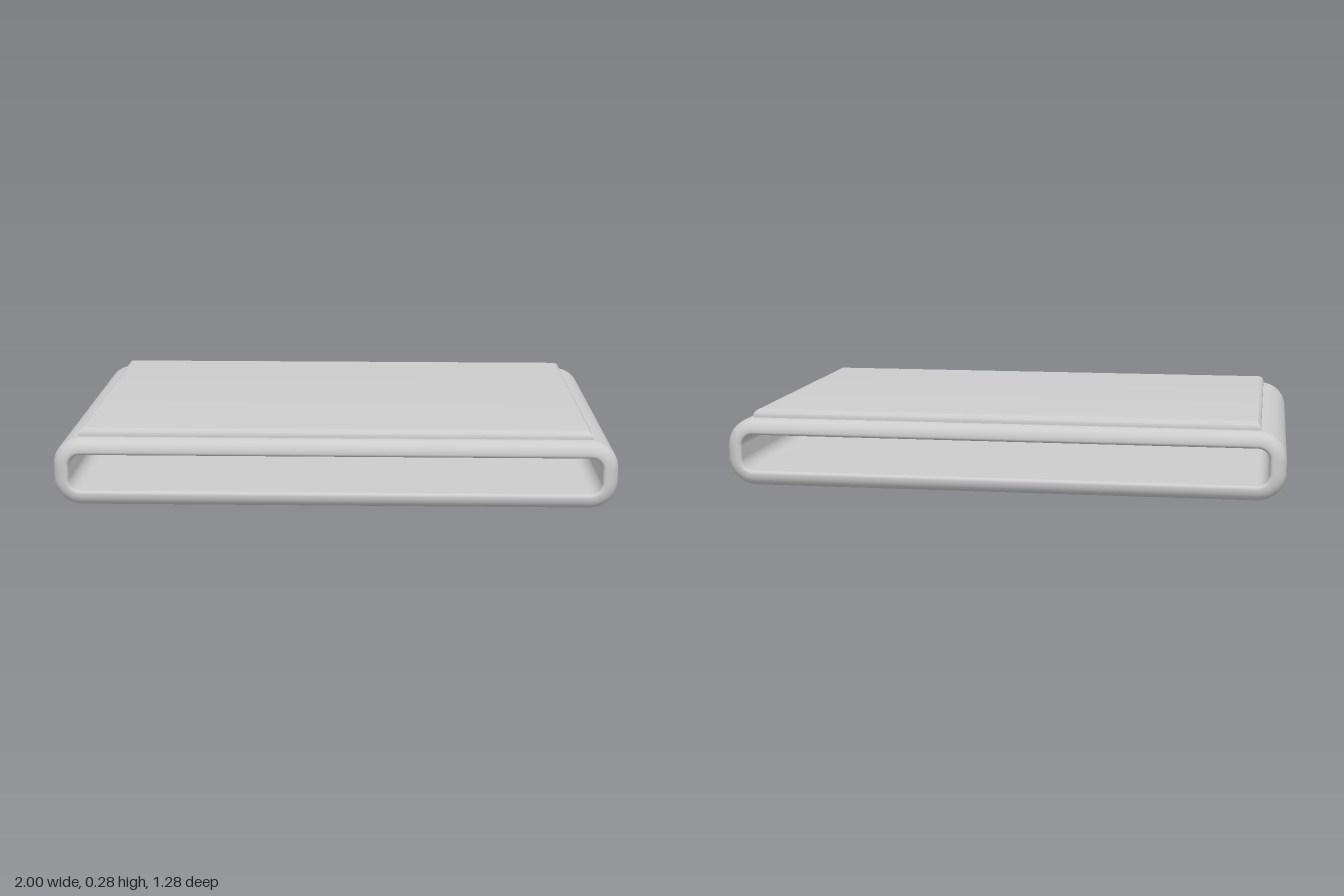
import * as THREE from 'three';
import { toCreasedNormals } from 'three/addons/utils/BufferGeometryUtils.js';

const W = 1, TOP = 0.245, D = 0.64; // half width, sleeve height, half depth
const CORNER = 0.1;                 // corner radius of the sleeve's outline
const OUT = 0.045, IN = 0.012;      // rounding of the rim, outside and inside

// Wall section: { inset, z, and the normal as outward / z components }
function wallSection() {
  const front = [], n = 10;
  for (let i = 0; i <= n; i++) {
    const a = (i / n) * Math.PI / 2, c = Math.cos(a), s = Math.sin(a);
    front.push({ inset: OUT - OUT * c, z: D - OUT + OUT * s, out: c, nz: s });
  }
  for (let i = 1; i <= n; i++) {
    const a = (i / n) * Math.PI / 2, c = Math.cos(a), s = Math.sin(a);
    front.push({ inset: OUT + IN * s, z: D - IN + IN * c, out: -s, nz: c });
  }
  const back = front.map(p => ({ ...p, z: -p.z, nz: -p.nz })).reverse();
  return [...back, ...front];
}

// Rounded outline: corner centre plus outward direction for each point
function outline(steps = 12) {
  const pts = [], x = W - CORNER, y = TOP / 2 - CORNER;
  [[x, y], [-x, y], [-x, -y], [x, -y]].forEach(([cx, cy], q) => {
    for (let i = 0; i <= steps; i++) {
      const a = (q + i / steps) * Math.PI / 2;
      pts.push({ cx, cy: cy + TOP / 2, dx: Math.cos(a), dy: Math.sin(a) });
    }
  });
  return pts;
}

// Hollow sleeve: the wall section carried round the outline
function sleeveGeometry() {
  const section = wallSection(), loop = outline();
  const pos = [], nor = [], idx = [], n = loop.length, m = section.length;
  section.forEach((s, j) => {
    const r = CORNER - s.inset;
    loop.forEach((p, i) => {
      pos.push(p.cx + p.dx * r, p.cy + p.dy * r, s.z);
      nor.push(p.dx * s.out, p.dy * s.out, s.nz);
      const i2 = (i + 1) % n, j2 = (j + 1) % m;
      const a = j * n + i, b = j * n + i2, c = j2 * n + i2, d = j2 * n + i;
      idx.push(a, b, c, a, c, d);
    });
  });
  const g = new THREE.BufferGeometry();
  g.setAttribute('position', new THREE.Float32BufferAttribute(pos, 3));
  g.setAttribute('normal', new THREE.Float32BufferAttribute(nor, 3));
  g.setIndex(idx);
  return g;
}

// Thin top plate with rounded edges and mitred corners, sunk into the sleeve
function plateGeometry() {
  const bevel = 0.025, x = 0.91 - bevel, z = 0.59 - bevel;
  const shape = new THREE.Shape([[-x, -z], [x, -z], [x, z], [-x, z]]
    .map(p => new THREE.Vector2(...p)));
  const g = new THREE.ExtrudeGeometry(shape, {
    depth: 0.01, bevelSize: bevel, bevelThickness: bevel, bevelSegments: 6,
  });
  g.rotateX(-Math.PI / 2);
  g.translate(0, 0.275 - 0.01 - bevel, 0);
  return toCreasedNormals(g, 0.6);
}

export function createModel() {
  const group = new THREE.Group();
  const material = new THREE.MeshStandardMaterial({ color: 0xcccccc });
  const add = (name, geometry) => {
    const mesh = new THREE.Mesh(geometry, material);
    mesh.name = name;
    group.add(mesh);
  };
  add('sleeve', sleeveGeometry());
  add('topPlate', plateGeometry());
  return group;
}
